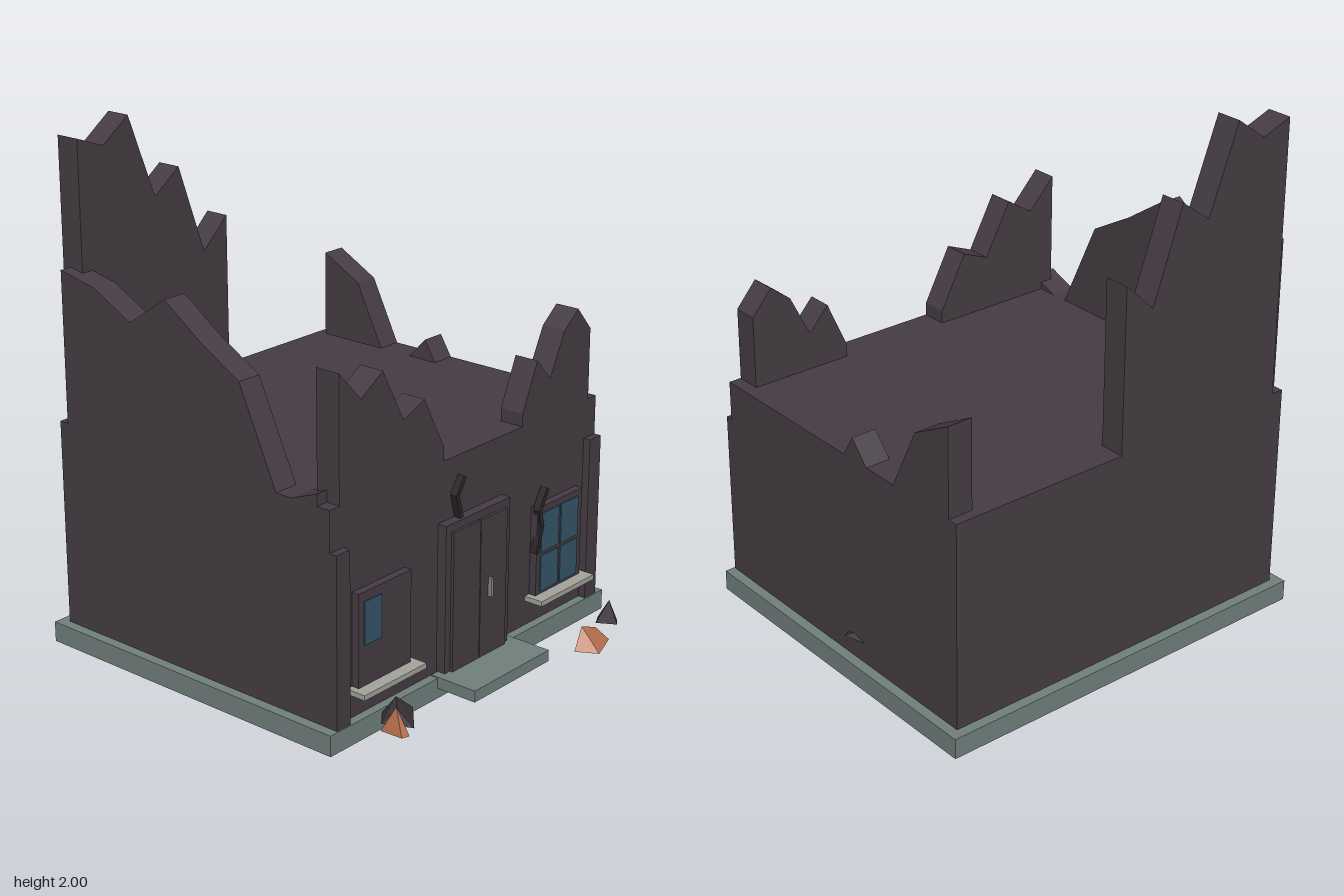
import * as THREE from 'three';
import { ConvexGeometry } from 'three/addons/geometries/ConvexGeometry.js';

const mat = (name, color) => {
  const m = new THREE.MeshStandardMaterial({ color, flatShading: true });
  m.name = name;
  return m;
};

export function createModel() {
  const model = new THREE.Group();
  model.name = 'ruinedHouse';
  const wall = mat('charred wall', 0x463d44);
  const stone = mat('foundation stone', 0x72817e);
  const sillStone = mat('pale sill', 0xa3a59d);
  const glass = mat('blue glass', 0x35576a);
  const brick = mat('brick', 0xb8704e);
  const char = mat('dark rubble', 0x3a3438);
  const soot = mat('crack soot', 0x2a272b);
  const metal = mat('handle metal', 0x8a8a8a);

  const add = (name, geometry, material) => {
    const mesh = new THREE.Mesh(geometry, material);
    mesh.name = name;
    model.add(mesh);
    return mesh;
  };
  // Box from its minimum and maximum on each axis
  const box = (name, m, x0, x1, y0, y1, z0, z1) => {
    const mesh = add(name, new THREE.BoxGeometry(x1 - x0, y1 - y0, z1 - z0), m);
    mesh.position.set((x0 + x1) / 2, (y0 + y1) / 2, (z0 + z1) / 2);
    return mesh;
  };

  // Foundation, door step and solid ground floor
  box('foundation', stone, -0.8, 0.8, 0, 0.08, -0.87, 0.53);
  box('doorStep', stone, -0.22, 0.22, 0.04, 0.085, 0.5, 0.7);
  box('houseBody', wall, -0.76, 0.76, 0.08, 0.89, -0.83, 0.495);

  // Broken wall: evenly spaced jagged top heights from a to b, 0.1 thick
  const T = 0.1, ROOF = 0.89;
  const jagged = (name, a, b, heights) => {
    const s = new THREE.Shape();
    const bottom = Math.min(ROOF, ...heights) - 0.03;
    s.moveTo(a, bottom);
    s.lineTo(b, bottom);
    for (let i = heights.length - 1; i >= 0; i--)
      s.lineTo(a + ((b - a) * i) / (heights.length - 1), heights[i]);
    s.closePath();
    return add(name, new THREE.ExtrudeGeometry(s, { depth: T, bevelEnabled: false }), wall);
  };
  jagged('brokenBackWall', -0.71, 0.03, [1.955, 1.91, 2, 1.675, 1.765, 1.415, 1.53]).position.z = -0.83;
  jagged('brokenFrontWallRight', -0.71, -0.155, [1.358, 1.24, 1.31, 1.105, 1.15, 0.94]).position.z = 0.395;
  jagged('brokenFrontWallLeft', 0.3, 0.71, [0.94, 1.125, 1.035, 1.2, 1.265, 1.17]).position.z = 0.395;
  // Side walls: shape x runs towards the back after the turn
  const side = (name, x, a, b, heights) => {
    const mesh = jagged(name, a, b, heights);
    mesh.rotation.y = Math.PI / 2;
    mesh.position.x = x;
  };
  side('brokenSideWallRight', -0.76, -0.44, 0.79, [0.935, 0.867, 1.25, 1.35, 1.47, 1.35, 1.44, 1.475]);
  side('brokenSideWallLeft', 0.66, 0.087, 0.79, [0.69, 0.975, 0.785, 1.14, 1.235]);

  // Front corner pilasters
  for (const s of [-1, 1])
    box('cornerPilaster', wall, s < 0 ? -0.76 : 0.69, s < 0 ? -0.69 : 0.76, 0.08, 0.735, 0.48, 0.525);

  // Door frame, two leaves and handle
  box('doorFrame', wall, -0.185, 0.185, 0.08, 0.66, 0.48, 0.533);
  for (const s of [-1, 1])
    box('doorLeaf', wall, s < 0 ? -0.155 : 0.002, s < 0 ? -0.002 : 0.155, 0.08, 0.63, 0.5, 0.545);
  box('doorHandle', metal, 0.048, 0.06, 0.315, 0.39, 0.54, 0.56);

  // Windows: frame and sill on both sides
  for (const s of [-1, 1]) {
    const c = s * 0.507;
    box('windowFrame', wall, c - 0.14, c + 0.14, 0.2, 0.555, 0.48, 0.525);
    box('windowSill', sillStone, c - 0.167, c + 0.167, 0.18, 0.2, 0.49, 0.575);
  }
  // Four panes on the left, a single one left on the right
  for (const x of [0.39, 0.512])
    for (const [y0, y1] of [[0.212, 0.358], [0.372, 0.53]])
      box('windowPane', glass, x, x + 0.108, y0, y1, 0.522, 0.53);
  box('windowPane', glass, -0.62, -0.53, 0.355, 0.52, 0.522, 0.53);

  // Zigzag cracks made of short bars
  const crack = (points, z) => {
    for (let i = 0; i < points.length - 1; i++) {
      const [x0, y0] = points[i], [x1, y1] = points[i + 1];
      const len = Math.hypot(x1 - x0, y1 - y0);
      const bar = add('wallCrack', new THREE.BoxGeometry(len + 0.008, 0.018, 0.03), soot);
      bar.position.set((x0 + x1) / 2, (y0 + y1) / 2, z);
      bar.rotation.z = Math.atan2(y1 - y0, x1 - x0);
    }
  };
  crack([[-0.07, 0.81], [-0.108, 0.75], [-0.085, 0.665]], 0.508);
  crack([[0.415, 0.62], [0.372, 0.545], [0.388, 0.48], [0.36, 0.38]], 0.52);

  // Rubble: convex chunks from a few corners
  const chunk = (name, m, corners) =>
    add(name, new ConvexGeometry(corners.map((p) => new THREE.Vector3(...p))), m);
  chunk('brickChunk', brick, [
    [-0.665, 0.085, 0.64], [-0.61, 0.085, 0.635], [-0.605, 0.09, 0.69],
    [-0.63, 0.085, 0.74], [-0.66, 0.085, 0.73], [-0.642, 0.185, 0.69]]);
  chunk('darkChunk', char, [
    [-0.645, 0.1, 0.625], [-0.565, 0.09, 0.56], [-0.48, 0.1, 0.63],
    [-0.575, 0.085, 0.715], [-0.56, 0.17, 0.62], [-0.6, 0.15, 0.66]]);
  chunk('brickChunk', brick, [
    [0.4, 0.09, 0.71], [0.44, 0.085, 0.815], [0.315, 0.085, 0.86],
    [0.27, 0.085, 0.78], [0.325, 0.165, 0.77], [0.415, 0.13, 0.77]]);
  chunk('darkChunk', char, [
    [0.525, 0.085, 0.695], [0.565, 0.09, 0.675], [0.6, 0.085, 0.74],
    [0.565, 0.085, 0.765], [0.565, 0.175, 0.725]]);
  chunk('wallShard', char, [
    [0.75, 0.16, -0.34], [0.75, 0.16, -0.2], [0.75, 0.18, -0.25], [0.785, 0.163, -0.22]]);
  return model;
}
